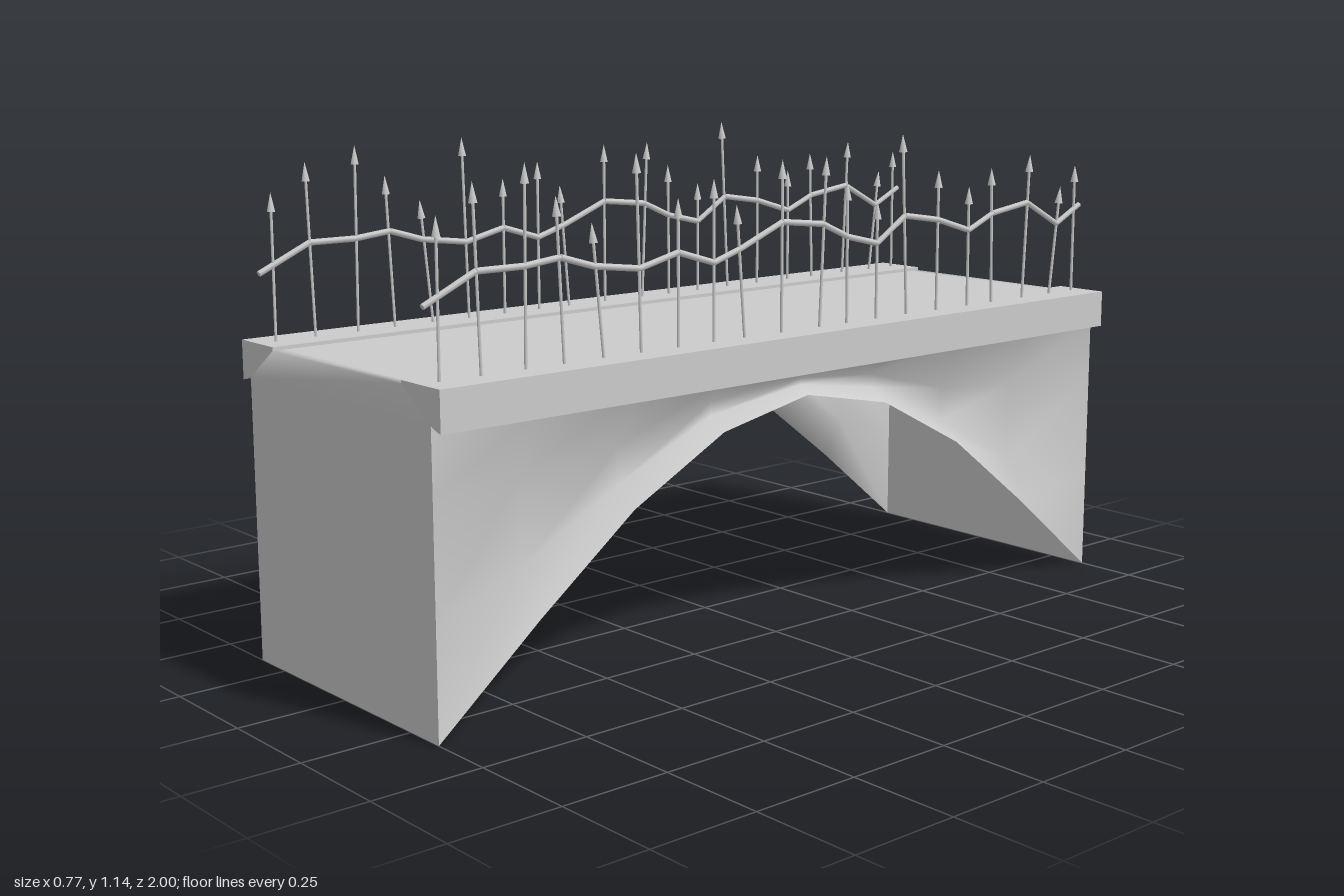
import * as THREE from 'three';

const mat = new THREE.MeshStandardMaterial({ color: 0xcccccc });
const sheetMat = new THREE.MeshStandardMaterial({ color: 0xcccccc, side: THREE.DoubleSide });

function mesh(geo, name, material = mat) {
  const m = new THREE.Mesh(geo, material);
  m.name = name;
  return m;
}

// Smooth sheet from equal-length rows of points
function loft(rows) {
  const n = rows[0].length, index = [];
  for (let r = 0; r < rows.length - 1; r++)
    for (let c = 0; c < n - 1; c++) {
      const a = r * n + c, b = a + 1, d = a + n, e = d + 1;
      index.push(a, b, e, a, e, d);
    }
  const geo = new THREE.BufferGeometry();
  geo.setAttribute('position', new THREE.Float32BufferAttribute(rows.flat(2), 3));
  geo.setIndex(index);
  geo.computeVertexNormals();
  return geo;
}

// Straight round bar between two points
function bar(a, b, radius, name, sides = 6) {
  const dir = b.clone().sub(a);
  const m = mesh(new THREE.CylinderGeometry(radius, radius, dir.length(), sides), name);
  m.position.copy(a).add(b).multiplyScalar(0.5);
  m.quaternion.setFromUnitVectors(new THREE.Vector3(0, 1, 0), dir.normalize());
  return m;
}

// Hollow side wall section by distance from the middle:
// z, arch height, recess x, recess bottom, recess top
const SECTIONS = [
  [0, 0.575, 0.325, 0.595, 0.61],
  [0.25, 0.525, 0.305, 0.555, 0.585],
  [0.5, 0.395, 0.295, 0.44, 0.52],
  [0.75, 0.205, 0.295, 0.31, 0.5],
  [1, 0, 0.35, 0.25, 0.5],
];

// Pinched wall rising from the arch edge, flaring out again below the curb
function sideWall(side) {
  const back = SECTIONS.slice(1).reverse().map(([z, ...rest]) => [-z, ...rest]);
  const rows = [...back, ...SECTIONS].map(([z, arch, x, low, high]) => [
    [side * 0.35, arch, z], [side * x, low, z], [side * x, high, z], [side * 0.35, 0.64, z],
  ]);
  if (side > 0) rows.forEach((row) => row.reverse());
  return mesh(loft(rows), 'sideWall', sheetMat);
}

// Sloping shoulder from the wall top up to the deck
function shoulder(side) {
  const rows = [[0.35, 0.64], [0.25, 0.71]].map(([x, y]) => [
    [side * x, y, side], [side * x, y, -side],
  ]);
  return mesh(loft(rows), 'deckShoulder', sheetMat);
}

// Flat end wall with a softly shaded tapered top
function endWall(side) {
  const lower = mesh(new THREE.PlaneGeometry(0.7, 0.64), 'endWallFace', sheetMat);
  lower.position.set(0, 0.32, 1);
  const rows = [[0.35, 0.64, 1], [0.25, 0.71, 1], [0.25, 0.71, 0.97]].map(([x, y, z]) => [[-x, y, z], [x, y, z]]);
  const group = new THREE.Group();
  group.name = 'endWall';
  group.add(lower, mesh(loft(rows), 'endWallRim', sheetMat));
  if (side < 0) group.rotation.y = Math.PI;
  return group;
}

function curb(side) {
  const shape = new THREE.Shape([
    [0.25, 0.71], [0.345, 0.643], [0.383, 0.63], [0.383, 0.718], [0.25, 0.718],
  ].map(([x, y]) => new THREE.Vector2(side * x, y)));
  const geo = new THREE.ExtrudeGeometry(shape, { depth: 2, bevelEnabled: false });
  geo.translate(0, 0, -1);
  return mesh(geo, 'curb');
}

// Fence posts: base z, tip z, tip height
const POSTS = [
  [0.955, 0.955, 1.04], [0.855, 0.87, 1.10], [0.75, 0.745, 1.13], [0.65, 0.67, 1.06], [0.545, 0.58, 1.0],
  [0.45, 0.463, 1.135], [0.35, 0.35, 1.035], [0.25, 0.25, 1.07], [0.155, 0.185, 1.01], [0.05, 0.05, 1.1],
  [-0.065, -0.085, 1.1], [-0.155, -0.152, 1.04], [-0.25, -0.25, 0.99], [-0.355, -0.33, 1.14], [-0.455, -0.455, 1.05],
  [-0.565, -0.563, 1.005], [-0.655, -0.643, 1.045], [-0.765, -0.785, 1.07], [-0.865, -0.905, 0.985], [-0.96, -0.96, 1.035],
];
// Crooked rail: z, height
const RAIL = [
  [0.99, 0.867], [0.865, 0.925], [0.75, 0.925], [0.66, 0.935], [0.575, 0.91], [0.455, 0.895], [0.35, 0.92],
  [0.25, 0.89], [0.17, 0.915], [0.05, 0.963], [-0.075, 0.95], [-0.155, 0.915], [-0.25, 0.893], [-0.342, 0.95],
  [-0.455, 0.933], [-0.565, 0.9], [-0.65, 0.935], [-0.778, 0.953], [-0.893, 0.893], [-0.98, 0.935],
];

function fence(x) {
  const group = new THREE.Group();
  group.name = 'fence';
  const v = (y, z) => new THREE.Vector3(x, y, z);
  for (const [baseZ, tipZ, tipY] of POSTS) {
    const base = v(0.655, baseZ), tip = v(tipY, tipZ);
    group.add(bar(base, tip.clone().lerp(base, 0.08), 0.0035, 'post'));
    const head = mesh(new THREE.ConeGeometry(0.01, 0.042, 6), 'spearTip');
    const dir = tip.clone().sub(base).normalize();
    head.position.copy(tip).addScaledVector(dir, -0.021);
    head.quaternion.setFromUnitVectors(new THREE.Vector3(0, 1, 0), dir);
    group.add(head);
  }
  for (let i = 0; i < RAIL.length - 1; i++) {
    const [z0, y0] = RAIL[i], [z1, y1] = RAIL[i + 1];
    group.add(bar(v(y0, z0), v(y1, z1), 0.007, 'railSegment'));
  }
  return group;
}

export function createModel() {
  const model = new THREE.Group();
  model.name = 'archBridge';

  // Walking surface
  const deck = mesh(new THREE.PlaneGeometry(0.5, 1.94), 'deck', sheetMat);
  deck.rotation.x = -Math.PI / 2;
  deck.position.y = 0.71;
  model.add(deck);

  for (const s of [1, -1])
    model.add(endWall(s), sideWall(s), shoulder(s), curb(s), fence(s * 0.315));
  return model;
}
